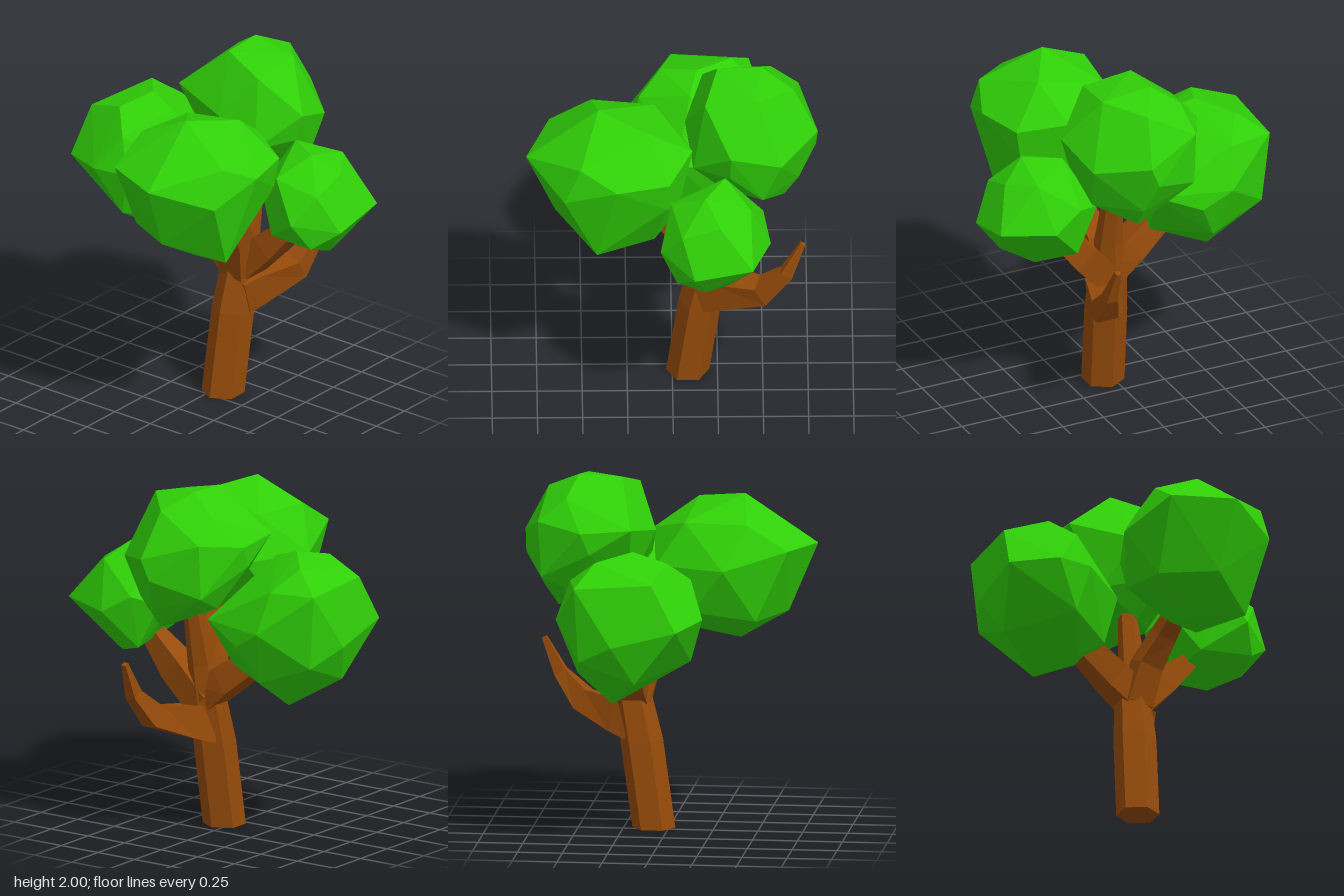
import * as THREE from 'three';
import { ConvexGeometry } from 'three/addons/geometries/ConvexGeometry.js';

const bark = new THREE.MeshStandardMaterial({ color: 0x964b0a, flatShading: true });
const leaf = new THREE.MeshStandardMaterial({ color: 0x30d008, flatShading: true });

// Tapered faceted limb through sections [x, y, z, radius], capped at both ends
function limb(name, sections, sides = 4, turn = Math.PI / 4) {
  const centres = sections.map(([x, y, z]) => new THREE.Vector3(x, y, z));
  const last = centres.length - 1;
  const pos = [];
  const rings = centres.map((c, i) => {
    const t = c.y === 0 ? new THREE.Vector3(0, 1, 0)
      : centres[Math.min(i + 1, last)].clone().sub(centres[Math.max(i - 1, 0)]).normalize();
    const v = new THREE.Vector3(0, 0, 1);
    v.addScaledVector(t, -v.dot(t)).normalize();
    const u = t.clone().cross(v);
    return Array.from({ length: sides }, (_, j) => {
      const a = turn + (j / sides) * Math.PI * 2, r = sections[i][3];
      return c.clone().addScaledVector(u, r * Math.cos(a)).addScaledVector(v, r * Math.sin(a));
    });
  });
  const tri = (...p) => p.forEach((q) => pos.push(q.x, q.y, q.z));
  for (let j = 0; j < sides; j++) {
    const k = (j + 1) % sides;
    for (let i = 0; i < last; i++) {
      const a = rings[i], b = rings[i + 1];
      tri(a[j], b[j], a[k]);
      tri(a[k], b[j], b[k]);
    }
    tri(centres[0], rings[0][j], rings[0][k]);
    tri(centres[last], rings[last][k], rings[last][j]);
  }
  const g = new THREE.BufferGeometry();
  g.setAttribute('position', new THREE.Float32BufferAttribute(pos, 3));
  g.computeVertexNormals();
  const mesh = new THREE.Mesh(g, bark);
  mesh.name = name;
  return mesh;
}

// Faceted leaf clump: the hull of a few corner points
function crown(name, corners) {
  const mesh = new THREE.Mesh(new ConvexGeometry(corners.map((c) => new THREE.Vector3(...c))), leaf);
  mesh.name = name;
  return mesh;
}

export function createModel() {
  const tree = new THREE.Group();
  tree.name = 'tree';

  // Trunk, and the stem that carries on up into the highest crown
  tree.add(limb('trunk', [
    [0.085, 0, 0.05, 0.12], [0.153, 0.48, 0.065, 0.119], [0.2, 0.72, 0.075, 0.105],
    [0.24, 0.95, 0.09, 0.08], [0.33, 1.35, 0.1, 0.05],
  ], 6, 0));

  // Branches into the other crowns, and one bare branch
  tree.add(limb('bareBranch', [
    [0.18, 0.585, 0.085, 0.14], [0.28, 0.615, 0.13, 0.13], [0.5, 0.675, 0.24, 0.088],
    [0.63, 0.82, 0.275, 0.05], [0.72, 1.015, 0.27, 0.02],
  ]));
  tree.add(limb('rightBranch', [
    [0.18, 0.72, 0.08, 0.11], [0.115, 0.94, 0.12, 0.1],
    [0.0, 1.09, 0.17, 0.08], [-0.16, 1.22, 0.2, 0.06],
  ]));
  tree.add(limb('frontBranch', [
    [0.22, 0.72, 0.09, 0.11], [0.235, 0.9, 0.26, 0.11], [0.24, 1.1, 0.46, 0.06],
  ]));
  tree.add(limb('backBranch', [
    [0.2, 0.76, 0.07, 0.115], [0.2, 0.86, -0.05, 0.115], [0.17, 1.04, -0.3, 0.09],
  ]));

  // Leaf crowns
  tree.add(crown('rightCrown', [
    [-0.41, 1.87, 0.18], [-0.135, 1.82, 0.34], [-0.51, 1.7, 0.52], [-0.45, 1.74, -0.1], [-0.1, 1.74, -0.05],
    [-0.81, 1.59, 0.23], [-0.68, 1.6, -0.11], [-0.33, 1.5, -0.23], [0.06, 1.5, -0.07], [0.11, 1.65, 0.27],
    [-0.02, 1.6, 0.53], [-0.31, 1.6, 0.6], [-0.6, 1.49, 0.53], [-0.03, 1.42, 0.5], [0.03, 1.3, 0.33],
    [-0.65, 1.21, 0.2], [-0.42, 1.09, 0.47], [-0.5, 1.2, -0.1], [-0.15, 1.25, -0.13],
    [-0.38, 1.05, 0.22], [-0.1, 1.09, 0.32], [-0.1, 1.12, 0.15],
  ]));
  tree.add(crown('topCrown', [
    [0.25, 1.99, -0.04], [0.49, 2.0, -0.04], [0.47, 1.96, 0.24], [0.18, 1.92, 0.22], [0.67, 1.915, 0.06],
    [0.545, 1.89, -0.2], [0.7, 1.76, -0.22], [0.45, 1.72, -0.35], [0.17, 1.74, -0.33], [0.07, 1.68, 0.03],
    [0.32, 1.7, 0.425], [0.6, 1.6, 0.36], [0.805, 1.66, 0.1], [0.795, 1.54, 0.05], [0.4, 1.6, -0.34],
    [0.115, 1.52, 0.25], [0.32, 1.54, 0.38], [0.68, 1.45, -0.22], [0.5, 1.36, -0.2], [0.2, 1.4, -0.12],
    [0.7, 1.35, 0.1], [0.5, 1.35, 0.32], [0.62, 1.235, 0.1], [0.54, 1.245, 0.06], [0.28, 1.3, 0.14],
  ]));
  tree.add(crown('frontCrown', [
    [0.18, 1.565, 0.6], [0.29, 1.56, 0.4], [0.43, 1.5, 0.62], [0.26, 1.46, 0.74], [0.05, 1.39, 0.74],
    [-0.01, 1.46, 0.5], [0.5, 1.33, 0.39], [0.54, 1.23, 0.56], [0.44, 1.25, 0.855], [0.12, 1.18, 0.85],
    [-0.07, 1.235, 0.65], [0.14, 1.3, 0.27], [0.42, 1.29, 0.25], [0.05, 1.07, 0.42], [0.44, 1.03, 0.38],
    [0.02, 1.08, 0.72], [0.18, 1.02, 0.73], [0.31, 0.96, 0.58],
  ]));
  tree.add(crown('backCrown', [
    [0.14, 1.655, -0.485], [-0.06, 1.61, -0.565], [0.33, 1.62, -0.645], [0.1, 1.6, -0.32], [0, 1.53, -0.81],
    [0.43, 1.5, -0.81], [0.48, 1.5, -0.55], [-0.18, 1.5, -0.45], [-0.225, 1.3, -0.385], [-0.26, 1.3, -0.59],
    [-0.14, 1.27, -0.845], [0.22, 1.18, -0.86], [0.565, 1.27, -0.515], [0.53, 1.17, -0.35], [0.45, 1.27, -0.1],
    [0.03, 1.27, -0.1], [-0.18, 1.04, -0.45], [0.05, 0.99, -0.17], [0.27, 0.98, -0.15], [0.45, 0.96, -0.45],
    [0.1, 0.96, -0.765], [0.41, 1.08, -0.77], [0.05, 0.89, -0.33], [0.25, 0.8, -0.51],
  ]));
  return tree;
}
